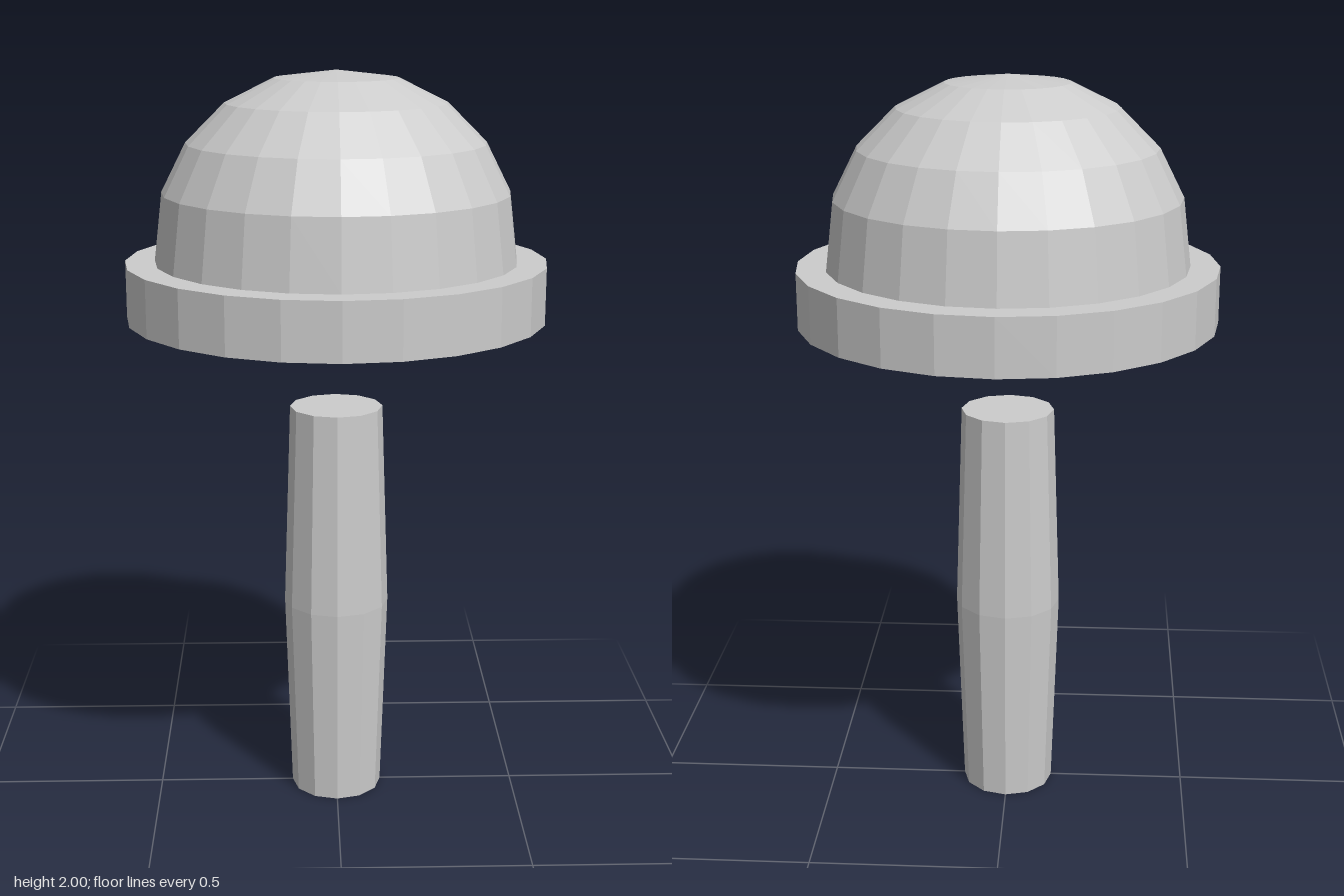
import * as THREE from 'three';

const SIDES = 24;

// Faceted solid of revolution from [radius, height] pairs
function lathe(name, points, sides, side = THREE.FrontSide) {
  const profile = points.map(([r, y]) => new THREE.Vector2(r, y));
  const material = new THREE.MeshStandardMaterial({ color: 0xcccccc, flatShading: true, side });
  const mesh = new THREE.Mesh(new THREE.LatheGeometry(profile, sides), material);
  mesh.name = name;
  return mesh;
}

export function createModel() {
  const group = new THREE.Group();
  group.name = 'domedCapOnStem';

  // Thin hollow dome, open below
  group.add(lathe('dome', [
    [0.477, 1.51], [0.455, 1.69], [0.39, 1.817], [0.288, 1.918], [0.162, 1.98], [0, 2],
  ], SIDES, THREE.DoubleSide));

  // Flat rim band around the dome's base: bottom, outside, top, inner wall
  group.add(lathe('rim', [
    [0.477, 1.36], [0.555, 1.36], [0.555, 1.51], [0.477, 1.51], [0.477, 1.36],
  ], SIDES));

  // Free-standing stem, slightly swollen at mid height, closed at both ends
  group.add(lathe('stem', [
    [0, 0], [0.125, 0], [0.143, 0.556], [0.125, 1.112], [0, 1.112],
  ], 12));

  return group;
}
